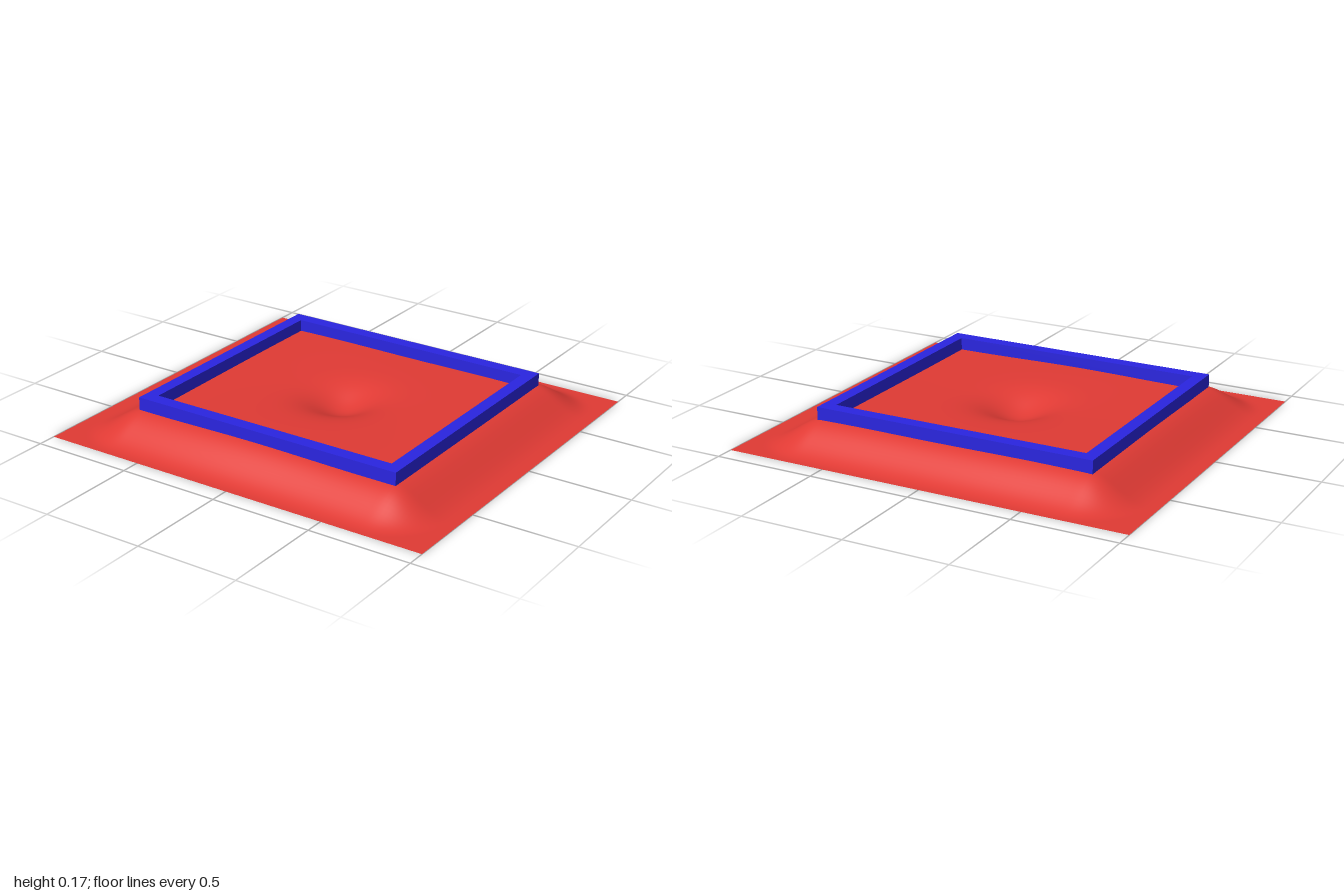
import * as THREE from 'three';

const WIDTH = 2, DEPTH = 1.82, TOP = 0.114;

// Height of the sheet: flat plateau with sloping skirt, faint ripples and a central dip
function sheetHeight(x, z) {
  const r = Math.hypot(Math.max(Math.abs(x) - 0.68, 0), Math.max(Math.abs(z) - 0.62, 0));
  const skirt = 1 - THREE.MathUtils.smoothstep(r, 0, 0.27);
  const ripple = 0.004 * Math.cos(5.5 * z + 3.1) * Math.cos(2.5 * x) + 0.002 * Math.sin(6 * x + 3 * z);
  const dip = 0.08 * Math.exp(-(x * x + z * z) / (2 * 0.115 ** 2));
  return (TOP + ripple) * skirt - dip * skirt;
}

function rectangle(Type, halfX, halfZ) {
  return new Type([
    new THREE.Vector2(-halfX, -halfZ), new THREE.Vector2(halfX, -halfZ),
    new THREE.Vector2(halfX, halfZ), new THREE.Vector2(-halfX, halfZ),
  ]);
}

export function createModel() {
  const model = new THREE.Group();
  model.name = 'framedSheet';

  // Draped red sheet
  const sheetGeometry = new THREE.PlaneGeometry(WIDTH, DEPTH, 100, 92).rotateX(-Math.PI / 2);
  const p = sheetGeometry.attributes.position;
  for (let i = 0; i < p.count; i++) p.setY(i, sheetHeight(p.getX(i), p.getZ(i)));
  sheetGeometry.computeVertexNormals();
  const sheet = new THREE.Mesh(sheetGeometry,
    new THREE.MeshStandardMaterial({ color: 0xe03a34, side: THREE.DoubleSide }));
  sheet.name = 'sheet';
  model.add(sheet);

  // Rectangular blue frame resting on the plateau
  const outline = rectangle(THREE.Shape, 0.702, 0.64);
  outline.holes.push(rectangle(THREE.Path, 0.64, 0.575));
  const frameGeometry = new THREE.ExtrudeGeometry(outline, { depth: 0.063, bevelEnabled: false })
    .rotateX(-Math.PI / 2).translate(0, 0.111, 0);
  const frame = new THREE.Mesh(frameGeometry, new THREE.MeshStandardMaterial({ color: 0x2a25e0 }));
  frame.name = 'frame';
  model.add(frame);

  return model;
}
